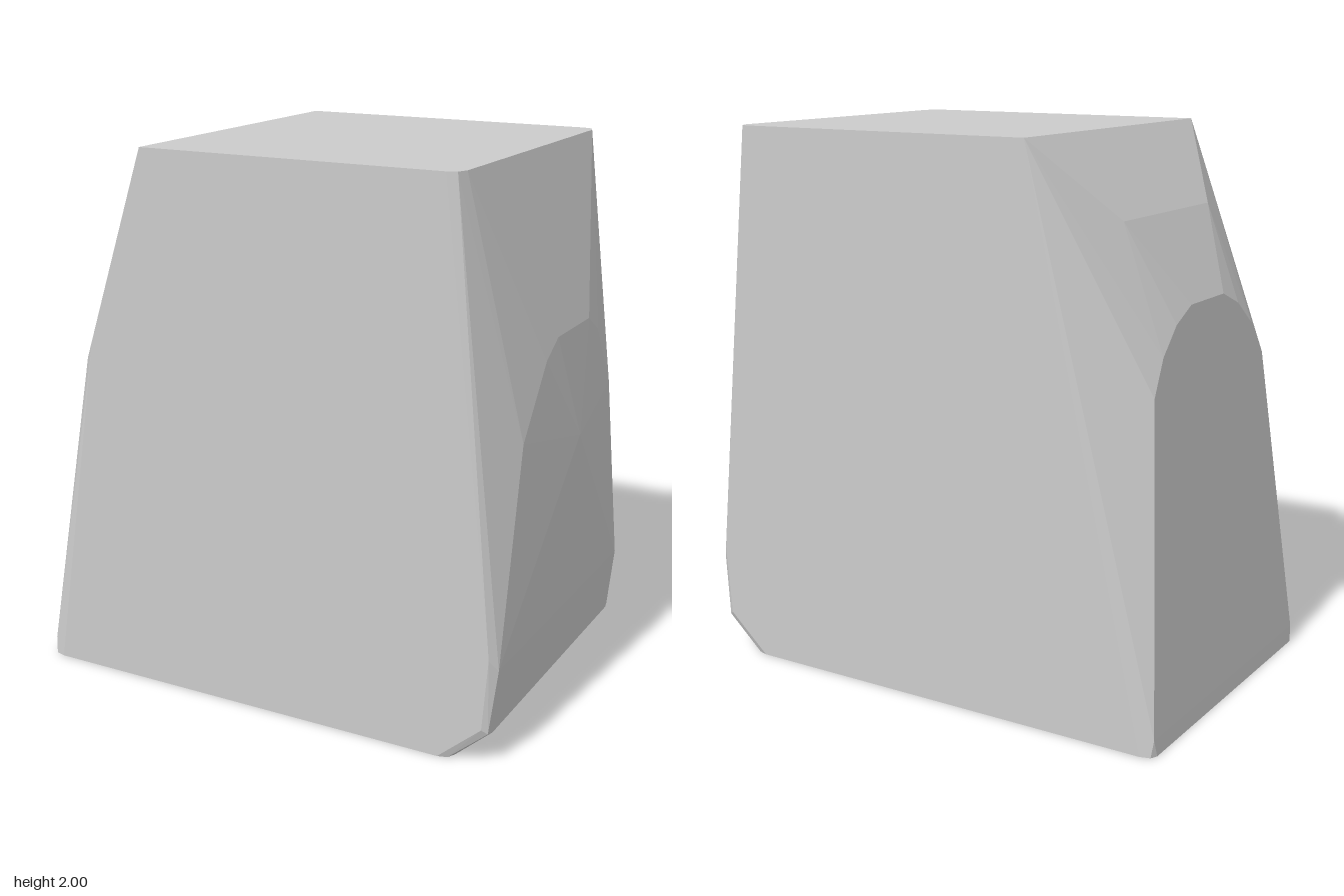
import * as THREE from 'three';
import { ConvexGeometry } from 'three/addons/geometries/ConvexGeometry.js';

// Faceted tapered block: a convex body through a few key points.
export function createModel() {
  const points = [];
  const add = (x, y, z) => points.push(new THREE.Vector3(x, y, z));
  // one point on each side of the middle plane
  const pair = (x, y, z) => { add(x, y, z); add(x, y, -z); };

  // flat top, sharp on one side and softly rounded on the other
  pair(-0.45, 2, 0.61);
  [[0.69, 0.61], [0.725, 0.598], [0.74, 0.56]].forEach(([x, z]) => pair(x, 2, z));

  // flat base with rounded corners
  [[-0.95, 0.575], [-0.938, 0.6], [-0.9, 0.61], [0.7, 0.61], [0.735, 0.6], [0.75, 0.57]]
    .forEach(([x, z]) => pair(x, 0, z));
  pair(-0.945, 0.06, 0.59);

  // bevel along the lower +x edge
  pair(0.86, 0.14, 0.61);
  pair(0.88, 0.125, 0.598);
  pair(0.885, 0.12, 0.57);
  pair(0.88, 0.4, 0.61);
  pair(0.907, 0.36, 0.585);

  // bulging +x side: shallow arch with a central peak
  pair(0.905, 1.4, 0.15);
  pair(0.905, 1.34, 0.25);
  pair(0.9, 1.1, 0.42);
  add(0.945, 1.02, 0);

  // sloping -x side: arched flat panel below a broken slope
  [[1.17, 0.44], [1.29, 0.36], [1.38, 0.25], [1.43, 0.13]]
    .forEach(([y, z]) => pair(-0.95 + 0.091 * y, y, z));
  pair(-0.66, 1.72, 0.325);
  add(-0.69, 1.28, 0.61);

  const body = new THREE.Mesh(
    new ConvexGeometry(points),
    new THREE.MeshStandardMaterial({ color: 0xcccccc, flatShading: true })
  );
  body.name = 'block';

  const group = new THREE.Group();
  group.name = 'taperedBlock';
  group.add(body);
  return group;
}
